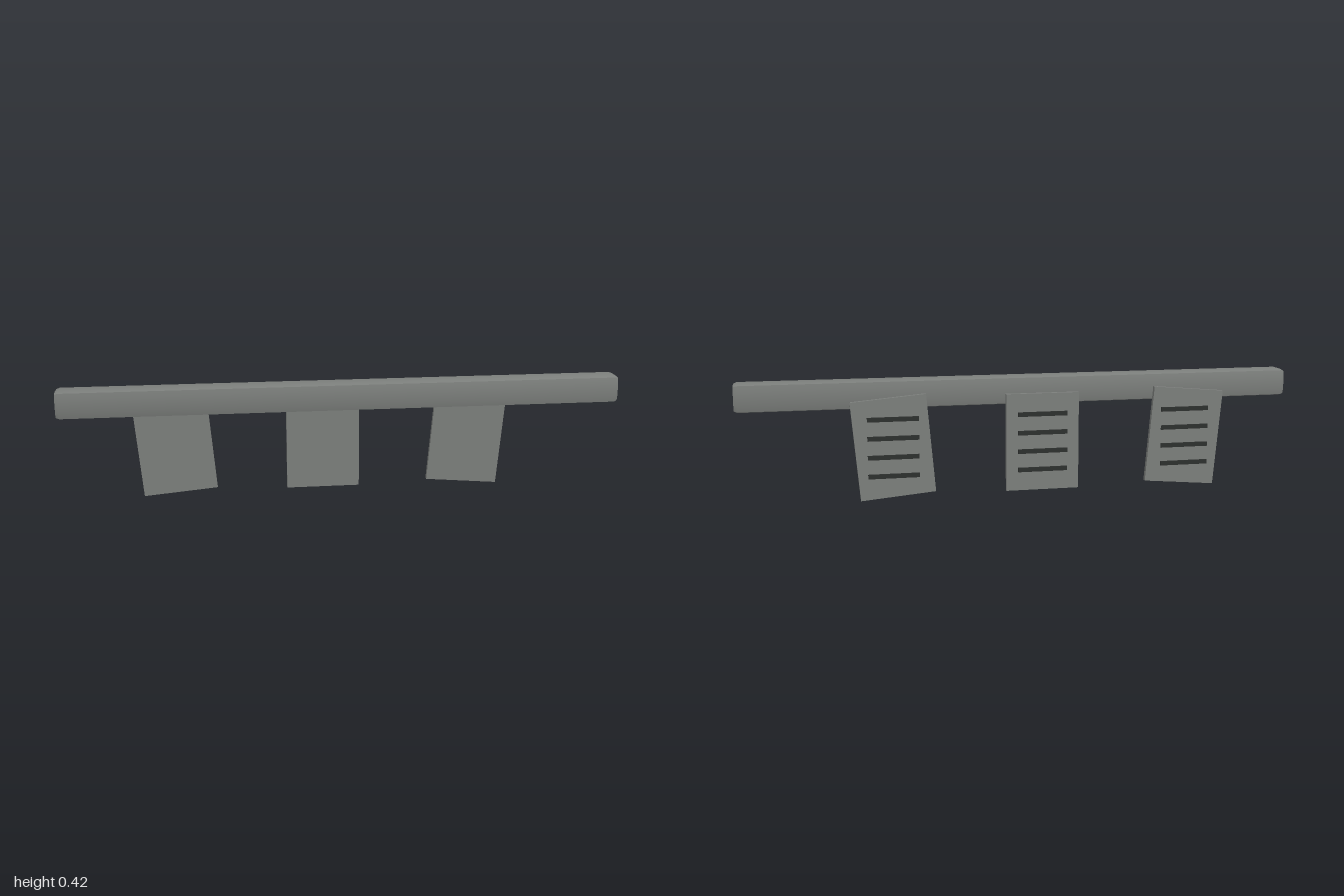
import * as THREE from 'three';
import { toCreasedNormals } from 'three/addons/utils/BufferGeometryUtils.js';

export function createModel() {
  const group = new THREE.Group();
  const grey = new THREE.MeshStandardMaterial({ color: 0x7c7f7c });
  grey.name = 'grey';
  const dark = new THREE.MeshStandardMaterial({ color: 0x2d302e });
  dark.name = 'dark grey';

  const add = (parent, name, geometry, material, x, y, z) => {
    const mesh = new THREE.Mesh(geometry, material);
    mesh.name = name;
    mesh.position.set(x, y, z);
    parent.add(mesh);
    return mesh;
  };

  // Long bar: a square section with slightly bulging sides and chamfered ends
  const side = [[0.045, -0.045], [0.05, -0.024], [0.05, 0.024]];
  const points = [];
  for (let i = 0; i < 4; i++) {
    for (const [a, b] of side) {
      points.push(new THREE.Vector2(a, b).rotateAround(new THREE.Vector2(), i * Math.PI / 2));
    }
  }
  const bevel = 0.012;
  let bar = new THREE.ExtrudeGeometry(new THREE.Shape(points), {
    depth: 2 - 2 * bevel,
    bevelThickness: bevel,
    bevelSize: 0.005,
    bevelOffset: -0.005,
    bevelSegments: 1,
  });
  bar.translate(0, 0, bevel - 1);
  bar.rotateY(Math.PI / 2);
  bar = toCreasedNormals(bar, 0.6);
  add(group, 'bar', bar, grey, 0, 0.37, 0.012);

  // Three hanging plates, the outer two leaning outwards at the top
  const plateGeometry = new THREE.BoxGeometry(0.265, 0.35, 0.016);
  const slatGeometry = new THREE.BoxGeometry(0.18, 0.016, 0.006);
  for (const i of [-1, 0, 1]) {
    const panel = new THREE.Group();
    panel.name = ['rightPanel', 'middlePanel', 'leftPanel'][i + 1];
    panel.position.set(-0.068 + i * 0.534, 0.186, -0.048);
    const plate = add(panel, 'plate', plateGeometry, grey, 0, 0, 0);
    plate.rotation.z = -i * THREE.MathUtils.degToRad(5);

    // Level dark slats on the back
    for (let k = 0; k < 4; k++) {
      add(panel, 'slat', slatGeometry, dark, 0, 0.101 - k * 0.067, -0.010);
    }
    group.add(panel);
  }
  return group;
}
